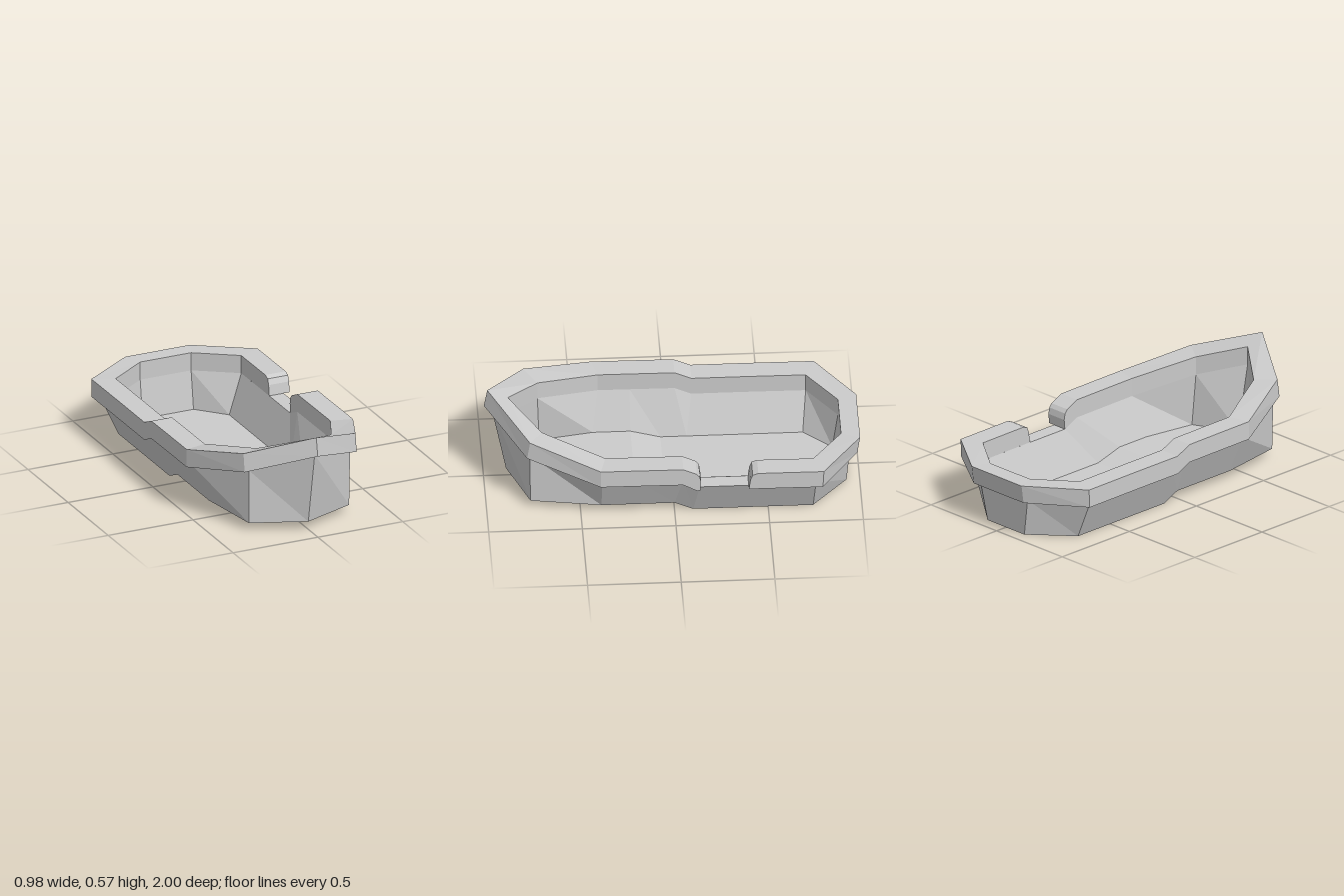
import * as THREE from 'three';

const V = (x, y, z) => new THREE.Vector3(x, y, z);
const material = new THREE.MeshStandardMaterial({ color: 0xcccccc, flatShading: true, side: THREE.DoubleSide });

// Stations from prow to stern, all as [x, y, z]:
// rim outer top, rim inner top, hull wall top, hull wall bottom, floor edge, lean of the rim's lower edge in z
const stations = [
  { outer: [0, 0.568, 0.98], inner: [0, 0.515, 0.87], top: [0, 0.462, 0.96], base: [0, 0.045, 0.88], floor: [0, 0.045, 0.80], lean: 0.018 },
  { outer: [0.33, 0.455, 0.77], inner: [0.22, 0.44, 0.70], top: [0.298, 0.352, 0.77], base: [0.295, 0.045, 0.765], floor: [0.24, 0.045, 0.69], lean: 0.015 },
  { outer: [0.49, 0.367, 0.40], inner: [0.37, 0.367, 0.37], top: [0.455, 0.267, 0.39], base: [0.355, 0.045, 0.39], floor: [0.29, 0.045, 0.40], lean: 0 },
  { outer: [0.49, 0.366, 0.20], inner: [0.37, 0.366, 0.20], top: [0.455, 0.266, 0.20], base: [0.355, 0.045, 0.20], floor: [0.29, 0.045, 0.20], lean: 0 },
  { outer: [0.49, 0.364, -0.04], inner: [0.37, 0.364, -0.04], top: [0.455, 0.264, -0.04], base: [0.355, 0.045, 0], floor: [0.29, 0, 0.04], lean: 0 },
  { outer: [0.49, 0.323, -0.13], inner: [0.37, 0.323, -0.13], top: [0.455, 0.22, -0.13], base: [0.355, 0, -0.10], floor: [0.29, 0, -0.10], lean: 0 },
  { outer: [0.49, 0.323, -0.42], inner: [0.37, 0.323, -0.42], top: [0.455, 0.22, -0.42], base: [0.355, 0, -0.42], floor: [0.29, 0, -0.42], lean: 0 },
  { outer: [0.49, 0.321, -0.79], inner: [0.37, 0.321, -0.74], top: [0.455, 0.22, -0.75], base: [0.355, 0, -0.74], floor: [0.29, 0, -0.72], lean: 0.005 },
  { outer: [0.19, 0.316, -1.0], inner: [0.15, 0.316, -0.90], top: [0.18, 0.217, -0.945], base: [0.14, 0, -0.93], floor: [0.15, 0, -0.87], lean: 0.015 },
];
const last = stations.length - 1;
const RIM = 0.102;

// Joins neighbouring cross-sections with quads
function loft(name, sections, { ring = false, closed = false, caps = false } = {}) {
  const pos = [];
  const tri = (...pts) => pts.forEach((p) => pos.push(p.x, p.y, p.z));
  const count = sections.length, n = sections[0].length;
  for (let i = 0; i < (ring ? count : count - 1); i++) {
    const s = sections[i], t = sections[(i + 1) % count];
    for (let j = 0; j < (closed ? n : n - 1); j++) {
      const k = (j + 1) % n;
      tri(s[j], s[k], t[k]);
      tri(s[j], t[k], t[j]);
    }
  }
  if (caps) {
    const a = sections[0], b = sections[count - 1];
    tri(a[0], a[2], a[1]); tri(a[0], a[3], a[2]);
    tri(b[0], b[1], b[2]); tri(b[0], b[2], b[3]);
  }
  const geo = new THREE.BufferGeometry();
  geo.setAttribute('position', new THREE.Float32BufferAttribute(pos, 3));
  geo.computeVertexNormals();
  const mesh = new THREE.Mesh(geo, material);
  mesh.name = name;
  return mesh;
}

const at = ([x, y, z], side) => V(x * side, y, z);

// Four-cornered section of the thick rim
function rimSection(s, side) {
  const o = at(s.outer, side), i = at(s.inner, side);
  return [V(o.x, o.y - RIM, o.z + s.lean), o, i, V(i.x, i.y - RIM, i.z)];
}

// Rim section beside the gap, with its top pulled down to round the end
const gapSection = (z, y, zLow = z) => [V(0.49, 0.221, zLow), V(0.49, y, z), V(0.37, y, z), V(0.37, 0.221, zLow)];

export function createModel() {
  const model = new THREE.Group();
  model.name = 'boatHull';

  // Whole outline: left side stern to prow, then right side prow to stern
  const outline = [];
  for (let i = last; i >= 0; i--) outline.push([stations[i], 1]);
  for (let i = 1; i <= last; i++) outline.push([stations[i], -1]);

  model.add(loft('outerHull', outline.map(([s, d]) => [at(s.base, d), at(s.top, d)]), { ring: true }));
  model.add(loft('innerWall', outline.map(([s, d]) => [rimSection(s, d)[3], at(s.floor, d)]), { ring: true }));
  model.add(loft('floor', stations.map((s) => [at(s.floor, -1), at(s.floor, 1)])));

  // Rim runs from the front of the gap round the prow and stern to the back of the gap
  const rim = [gapSection(-0.135, 0.275, -0.13), gapSection(-0.128, 0.31), gapSection(-0.112, 0.33)];
  for (let i = 4; i >= 0; i--) rim.push(rimSection(stations[i], 1));
  for (let i = 1; i <= last; i++) rim.push(rimSection(stations[i], -1));
  rim.push(rimSection(stations[last], 1), rimSection(stations[last - 1], 1));
  rim.push(gapSection(-0.44, 0.323), gapSection(-0.41, 0.312), gapSection(-0.398, 0.28, -0.39));
  model.add(loft('rim', rim, { closed: true, caps: true }));

  // Flat top of the hull wall inside the gap
  model.add(loft('gapLedge', [-0.12, -0.41].map((z) => [V(0.37, 0.22, z), V(0.455, 0.22, z)])));
  return model;
}
